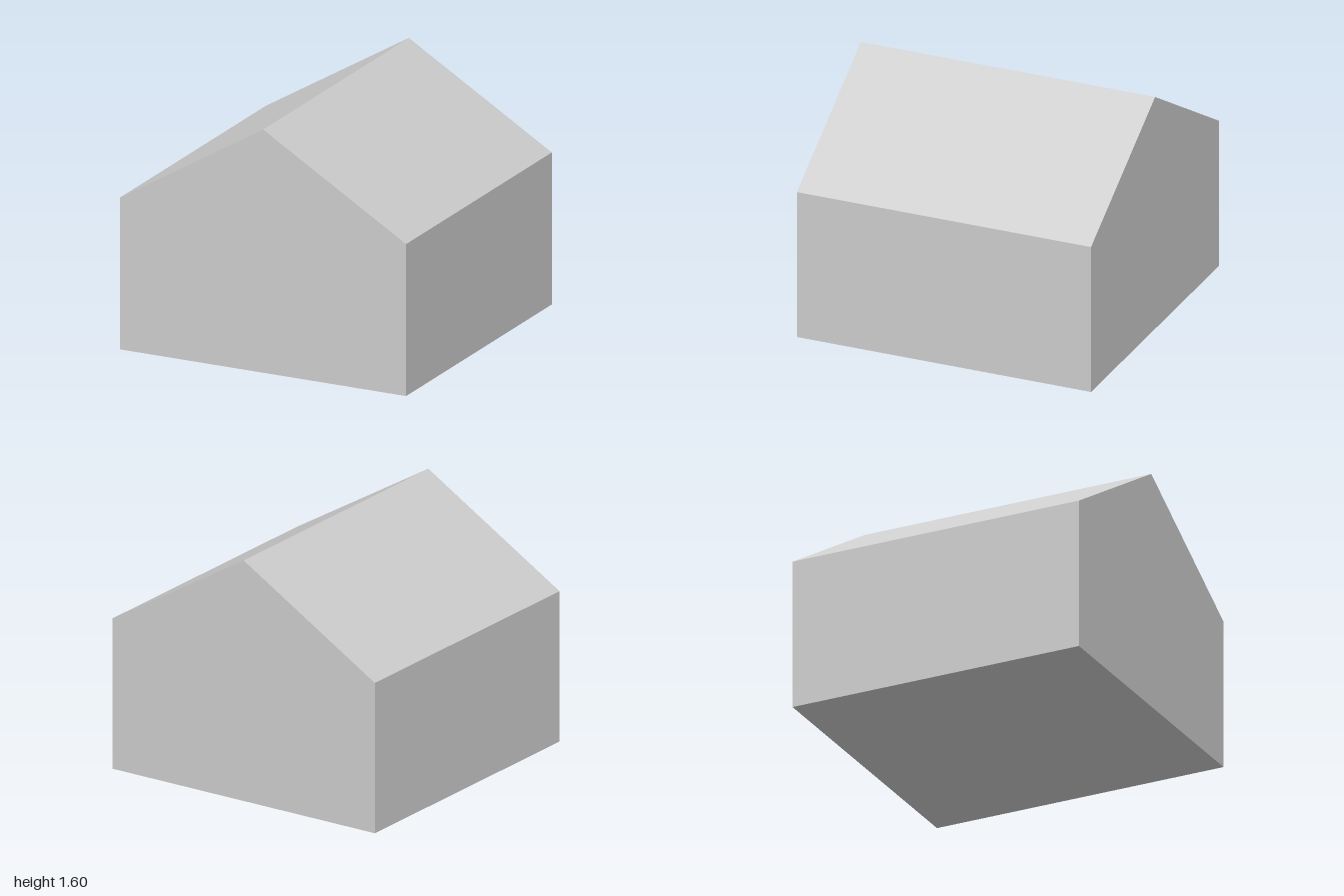
import * as THREE from 'three';

const HALF = 1;    // half of the width and of the depth
const EAVES = 1;   // wall height
const RIDGE = 1.6; // roof peak height

export function createModel() {
  const model = new THREE.Group();
  model.name = 'house';

  // Gable outline, counter-clockwise from the front
  const gable = new THREE.Shape([
    new THREE.Vector2(-HALF, 0),
    new THREE.Vector2(HALF, 0),
    new THREE.Vector2(HALF, EAVES),
    new THREE.Vector2(0, RIDGE),
    new THREE.Vector2(-HALF, EAVES),
  ]);

  // Solid body: walls, floor and pitched roof in one closed prism
  const geometry = new THREE.ExtrudeGeometry(gable, { depth: 2 * HALF, bevelEnabled: false });
  geometry.translate(0, 0, -HALF);

  const material = new THREE.MeshStandardMaterial({ color: 0xcccccc, flatShading: true });
  const body = new THREE.Mesh(geometry, material);
  body.name = 'houseBody';
  model.add(body);

  return model;
}
